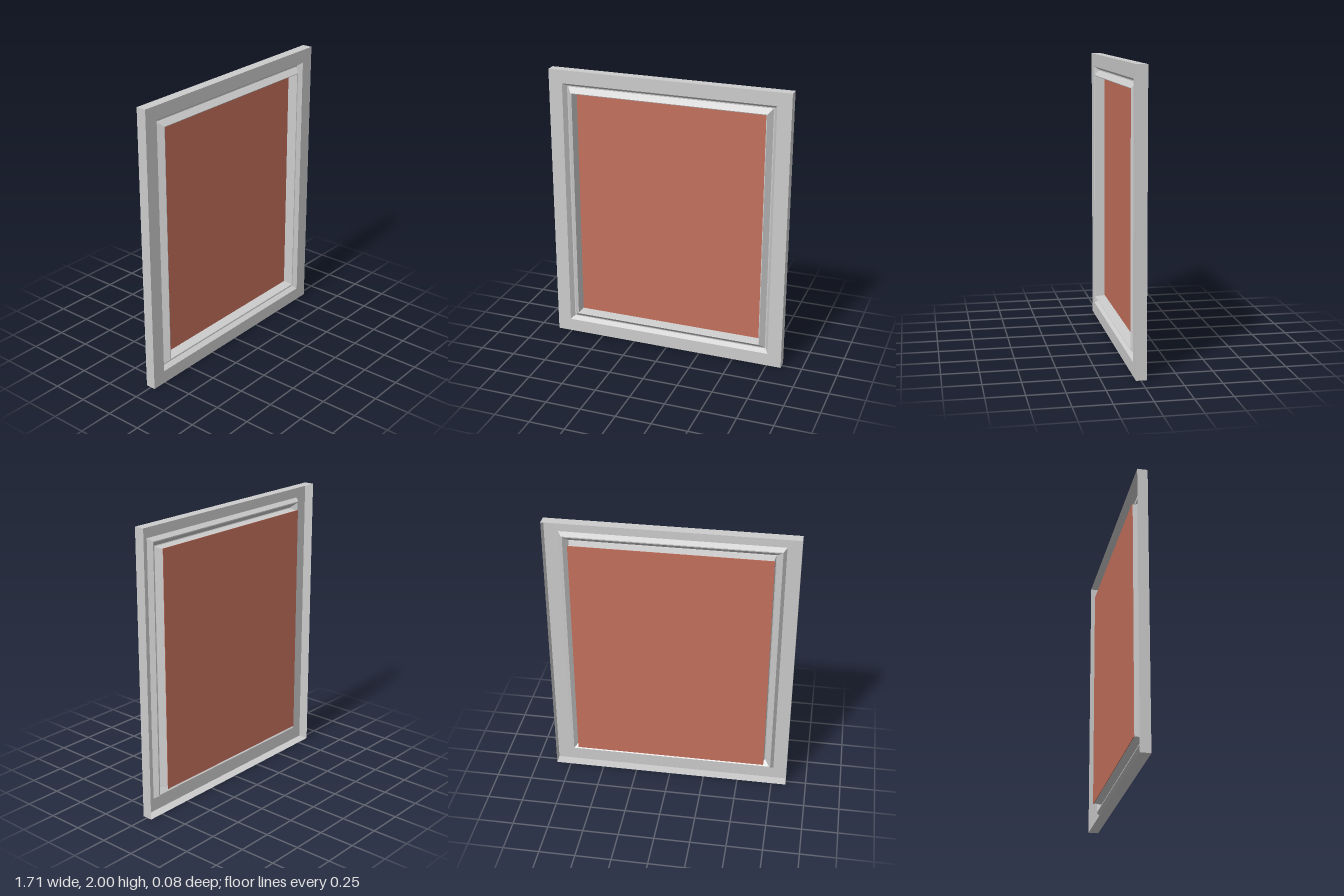
import * as THREE from 'three';

const grey = new THREE.MeshStandardMaterial({ color: 0xcccccc, flatShading: true, side: THREE.DoubleSide });
const red = new THREE.MeshStandardMaterial({ color: 0xc4705c, flatShading: true, side: THREE.DoubleSide });

// Mitred rectangular sheet: each profile point is [half width, half height, z],
// listed from the outside inwards.
function mitredRing(profile) {
  const pos = [];
  const corner = ([w, h, z], i) => {
    const [sx, sy] = [[1, 1], [-1, 1], [-1, -1], [1, -1]][i % 4];
    return [sx * w, 1 + sy * h, z];
  };
  for (let k = 0; k + 1 < profile.length; k++) {
    for (let i = 0; i < 4; i++) {
      const a = corner(profile[k], i), b = corner(profile[k], i + 1);
      const c = corner(profile[k + 1], i + 1), d = corner(profile[k + 1], i);
      pos.push(...a, ...b, ...c, ...a, ...c, ...d);
    }
  }
  const geo = new THREE.BufferGeometry();
  geo.setAttribute('position', new THREE.Float32BufferAttribute(pos, 3));
  geo.computeVertexNormals();
  return geo;
}

function addPart(group, name, geometry, material) {
  const mesh = new THREE.Mesh(geometry, material);
  mesh.name = name;
  group.add(mesh);
  return mesh;
}

export function createModel() {
  const group = new THREE.Group();
  group.name = 'framedPanel';

  // Outer frame: side walls and flat front, open at the back
  addPart(group, 'outerFrame', mitredRing([
    [0.855, 1, -0.038], [0.855, 1, 0.033], [0.757, 0.907, 0.033],
  ]), grey);

  // Moulding: groove, raised lip and the deep inner wall
  addPart(group, 'moulding', mitredRing([
    [0.757, 0.907, 0.033], [0.735, 0.886, 0], [0.727, 0.879, 0],
    [0.694, 0.845, 0.038], [0.688, 0.84, 0.036], [0.679, 0.832, -0.034],
  ]), grey);

  // Coloured panel set at the back of the moulding
  const panel = addPart(group, 'panel', new THREE.BoxGeometry(1.37, 1.676, 0.004), red);
  panel.position.set(0, 1, -0.035);

  return group;
}
